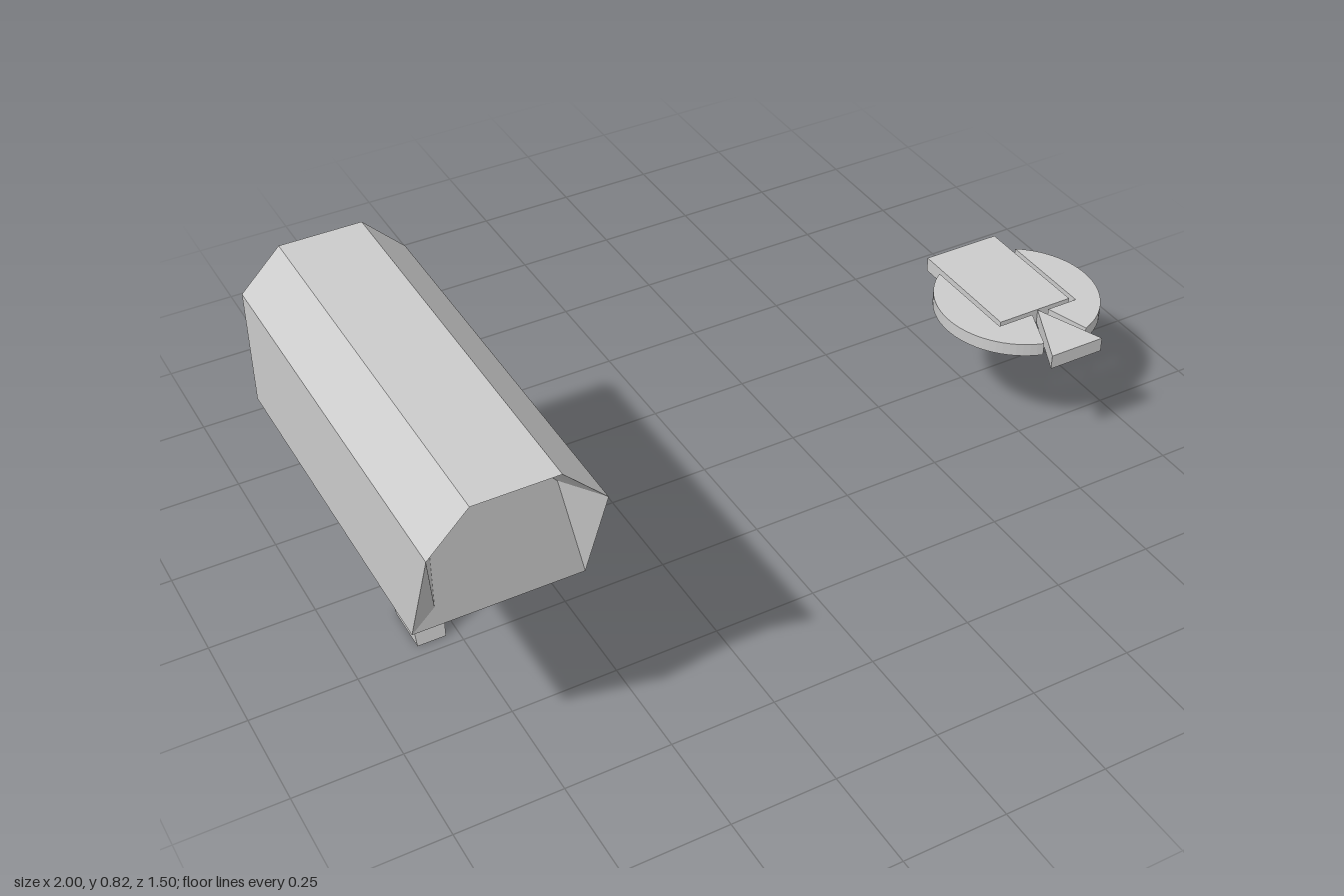
import * as THREE from 'three';

const material = new THREE.MeshStandardMaterial({ color: 0xcccccc, flatShading: true, side: THREE.DoubleSide });

function addMesh(parent, name, geometry) {
  const mesh = new THREE.Mesh(geometry, material);
  mesh.name = name;
  parent.add(mesh);
  return mesh;
}

// Chamfered hood outline, counter-clockwise seen from the front
function hoodOutline(halfWidth, halfTop, bottom, shoulder, top, zAt) {
  return [[-halfWidth, bottom], [halfWidth, bottom], [halfWidth, shoulder],
    [halfTop, top], [-halfTop, top], [-halfWidth, shoulder]]
    .map(([x, y]) => [x, y, zAt(y)]);
}

// Skin consecutive outlines and close both ends
function loft(rings) {
  const out = [];
  const tri = (a, b, c) => out.push(...a, ...b, ...c);
  const n = rings[0].length;
  for (let r = 0; r < rings.length - 1; r++) {
    for (let i = 0; i < n; i++) {
      const j = (i + 1) % n;
      const [a, b, c, d] = [rings[r][i], rings[r][j], rings[r + 1][j], rings[r + 1][i]];
      tri(a, b, c);
      tri(a, c, d);
    }
  }
  const first = rings[0], last = rings[rings.length - 1];
  for (let i = 1; i < n - 1; i++) {
    tri(first[0], first[i + 1], first[i]);
    tri(last[0], last[i], last[i + 1]);
  }
  const geometry = new THREE.BufferGeometry();
  geometry.setAttribute('position', new THREE.Float32BufferAttribute(out, 3));
  geometry.computeVertexNormals();
  return geometry;
}

function polygon(points) {
  return new THREE.Shape(points.map(([x, y]) => new THREE.Vector2(x, y)));
}

// Flat plate from a shape drawn in x and -z
function plate(shape, bottom, top) {
  const geometry = new THREE.ExtrudeGeometry(shape, { depth: top - bottom, bevelEnabled: false, curveSegments: 14 });
  return geometry.rotateX(-Math.PI / 2).translate(0, bottom, 0);
}

export function createModel() {
  const model = new THREE.Group();

  const camera = new THREE.Group();
  camera.name = 'securityCamera';
  camera.position.x = -0.813;
  model.add(camera);

  // Housing with a raked front rim and a recessed front face
  addMesh(camera, 'housing', loft([
    hoodOutline(0.187, 0.094, 0.45, 0.73, 0.823, () => -0.22),
    hoodOutline(0.187, 0.094, 0.45, 0.73, 0.823, (y) => (y > 0.7 ? 0.747 : 0.63)),
    hoodOutline(0.136, 0.075, 0.5, 0.705, 0.77, () => 0.63),
  ]));

  // Post and wall arm: side profile in (z, y), narrowing toward the bottom
  const bracket = new THREE.ExtrudeGeometry(polygon([
    [0.22, 0], [0.14, 0.45], [-0.07, 0.45], [0.038, 0.162],
    [-0.748, 0.162], [-0.706, 0.053], [0.08, 0.053], [0.1, 0],
  ]), { depth: 2, bevelEnabled: false });
  bracket.translate(0, 0, -1).rotateY(-Math.PI / 2);
  const p = bracket.attributes.position;
  for (let i = 0; i < p.count; i++) {
    // the profile's first axis becomes z, its depth becomes x
    p.setX(i, p.getX(i) * (0.034 + 0.058 * p.getY(i)));
  }
  bracket.computeVertexNormals();
  addMesh(camera, 'bracket', bracket);

  const badge = new THREE.Group();
  badge.name = 'discBadge';
  model.add(badge);

  // Two disc halves, notched around the centre symbol
  const discSides = [
    ['discLeft', -1.246, 0.967, [[0.912, -0.215], [0.83, -0.215]]],
    ['discRight', 2.16, 4.415, [[0.783, -0.215], [0.687, -0.215]]],
  ];
  for (const [name, start, end, notch] of discSides) {
    const shape = new THREE.Shape();
    shape.absarc(0.798, -0.13, 0.202, start, end, false);
    for (const [x, y] of notch) shape.lineTo(x, y);
    shape.closePath();
    addMesh(badge, name, plate(shape, 0.287, 0.32));
  }

  // Centre block and wedge
  addMesh(badge, 'centreBlock', plate(polygon([[0.698, -0.204], [0.9, -0.204], [0.9, 0.108], [0.698, 0.108]]), 0.284, 0.321));
  addMesh(badge, 'wedge', plate(polygon([[0.805, -0.206], [0.725, -0.374], [0.87, -0.374]]), 0.284, 0.321));

  return model;
}
